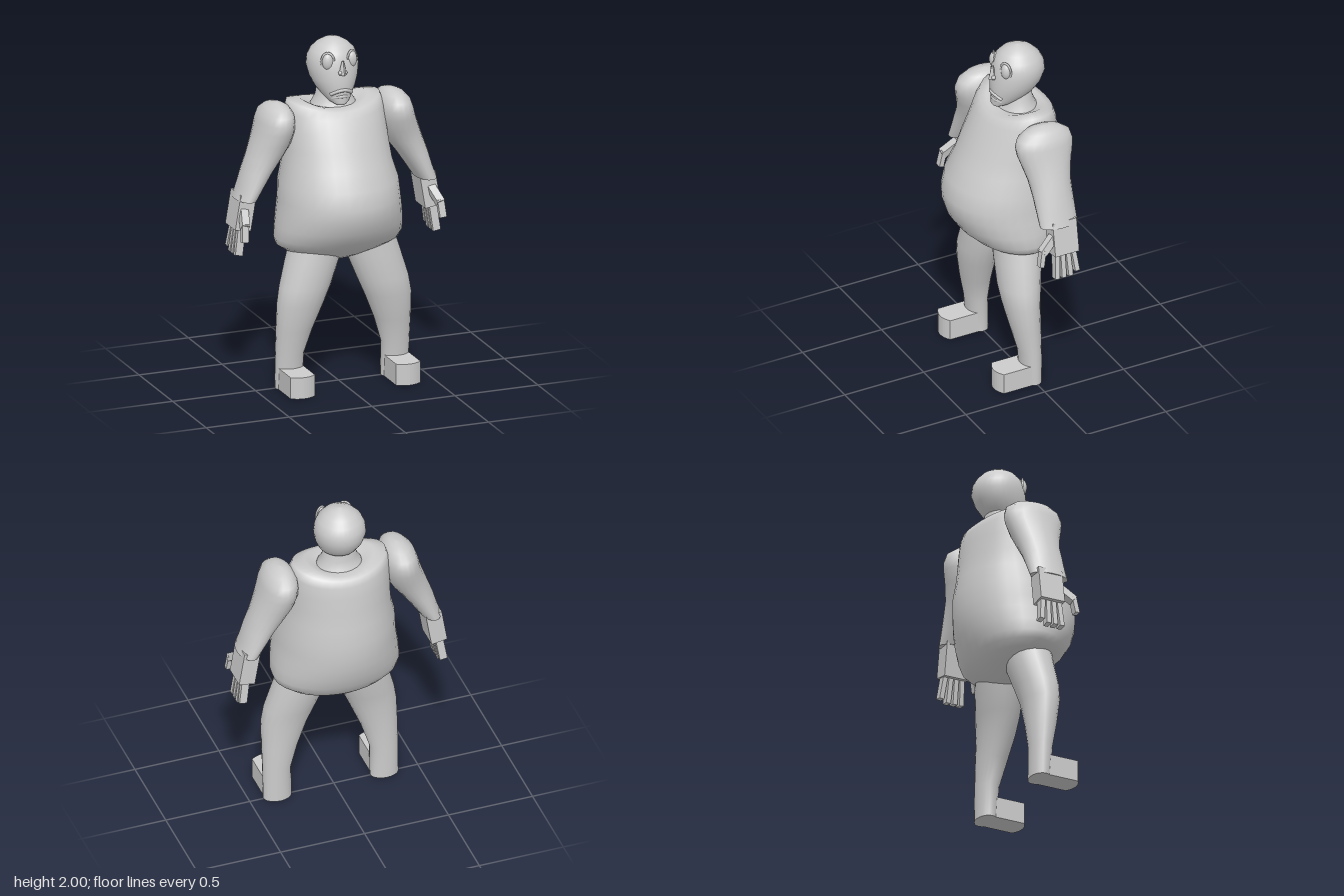
import * as THREE from 'three';

const material = new THREE.MeshStandardMaterial({ color: 0xcccccc, side: THREE.DoubleSide });

function add(group, name, geometry, x = 0, y = 0, z = 0) {
  const mesh = new THREE.Mesh(geometry, material);
  mesh.name = name;
  mesh.position.set(x, y, z);
  group.add(mesh);
  return mesh;
}

// Skin over oval rings listed from bottom to top:
// [y, centre x, half width, back z, front z, lift of the sides]
function loft(rings, segments, side = 1) {
  const pos = [], index = [];
  const addRing = ([y, cx, hx, zb, zf, lift = 0]) => {
    for (let j = 0; j < segments; j++) {
      const a = (j / segments) * Math.PI * 2;
      pos.push(side * cx + hx * Math.cos(a), y + lift * Math.cos(a) ** 2,
        (zb + zf) / 2 + ((zf - zb) / 2) * Math.sin(a));
    }
  };
  rings.forEach(addRing);
  for (let i = 0; i < rings.length - 1; i++) {
    for (let j = 0; j < segments; j++) {
      const a = i * segments + j, b = i * segments + (j + 1) % segments;
      index.push(a, a + segments, b, b, a + segments, b + segments);
    }
  }
  // caps with their own vertices, so the rims stay sharp
  [rings[0], rings[rings.length - 1]].forEach((ring, top) => {
    const start = pos.length / 3;
    addRing(ring);
    pos.push(side * ring[1], ring[0], (ring[3] + ring[4]) / 2);
    for (let j = 0; j < segments; j++) {
      const a = start + j, b = start + (j + 1) % segments, c = start + segments;
      index.push(...(top ? [a, c, b] : [a, b, c]));
    }
  });
  const geometry = new THREE.BufferGeometry();
  geometry.setAttribute('position', new THREE.Float32BufferAttribute(pos, 3));
  geometry.setIndex(index);
  geometry.computeVertexNormals();
  return geometry;
}

// Straight block running from one point to another
function bar(group, name, from, to, width, depth) {
  const p = new THREE.Vector3(...from), q = new THREE.Vector3(...to);
  const dir = q.clone().sub(p);
  const mid = p.clone().add(q).multiplyScalar(0.5);
  const mesh = add(group, name, new THREE.BoxGeometry(width, dir.length(), depth), mid.x, mid.y, mid.z);
  mesh.quaternion.setFromUnitVectors(new THREE.Vector3(0, -1, 0), dir.normalize());
}

function makeHead() {
  const head = new THREE.Group();
  head.name = 'head';
  add(head, 'skull', loft([
    [1.64, 0, 0.03, 0.0, 0.06], [1.655, 0, 0.055, -0.06, 0.07], [1.69, 0, 0.085, -0.14, 0.065],
    [1.73, 0, 0.112, -0.19, 0.068], [1.78, 0, 0.134, -0.228, 0.066], [1.84, 0, 0.147, -0.25, 0.058],
    [1.89, 0, 0.142, -0.243, 0.047], [1.93, 0, 0.124, -0.222, 0.03], [1.965, 0, 0.09, -0.187, 0],
    [1.99, 0, 0.048, -0.143, -0.042], [2.0, 0, 0.004, -0.1, -0.092],
  ], 32));
  for (const s of [1, -1]) {
    add(head, 'eye', new THREE.SphereGeometry(1, 20, 14), s * 0.07, 1.89, 0.015).scale.set(0.033, 0.05, 0.028);
    const lid = add(head, 'eyelid', new THREE.TorusGeometry(0.036, 0.006, 6, 24), s * 0.072, 1.89, 0.018);
    lid.scale.y = 1.4;
    lid.rotation.y = s * 0.45;
    add(head, 'nostril', new THREE.SphereGeometry(0.013, 10, 8), s * 0.014, 1.832, 0.064);
  }
  // wedge nose, wider and deeper at the bottom
  const nose = new THREE.CylinderGeometry(0.006, 0.026, 0.08, 4, 1).toNonIndexed();
  nose.computeVertexNormals();
  add(head, 'nose', nose, 0, 1.86, 0.064);
  // downturned mouth
  const lip = (y, drop, w, z) => new THREE.QuadraticBezierCurve3(
    new THREE.Vector3(-w, y - drop, z - 0.03), new THREE.Vector3(0, y + drop, z + 0.03),
    new THREE.Vector3(w, y - drop, z - 0.03));
  add(head, 'upperLip', new THREE.TubeGeometry(lip(1.728, 0.025, 0.062, 0.066), 16, 0.011, 8));
  add(head, 'lowerLip', new THREE.TubeGeometry(lip(1.69, 0.012, 0.05, 0.06), 16, 0.011, 8));
  add(head, 'neck', loft([
    [1.58, 0, 0.145, -0.22, 0.04], [1.63, 0, 0.125, -0.19, 0.02],
    [1.67, 0, 0.1, -0.175, 0], [1.74, 0, 0.09, -0.17, 0],
  ], 20));
  return head;
}

function makeArm(s) {
  const arm = new THREE.Group();
  arm.name = s > 0 ? 'leftArm' : 'rightArm';
  add(arm, 'sleeve', loft([
    [1.125, 0.542, 0.06, -0.18, 0.05], [1.2, 0.505, 0.072, -0.183, 0.051],
    [1.28, 0.467, 0.088, -0.186, 0.052], [1.36, 0.422, 0.104, -0.195, 0.056],
    [1.44, 0.385, 0.113, -0.217, 0.076], [1.51, 0.364, 0.109, -0.238, 0.098],
    [1.56, 0.357, 0.103, -0.244, 0.104], [1.605, 0.352, 0.092, -0.23, 0.09],
    [1.64, 0.348, 0.065, -0.18, 0.045], [1.656, 0.345, 0.035, -0.125, -0.01], [1.662, 0.345, 0.003, -0.075, -0.065],
  ], 20, s));
  bar(arm, 'palm', [s * 0.54, 1.15, -0.08], [s * 0.573, 0.95, -0.08], 0.095, 0.15);
  for (let i = 0; i < 4; i++) {
    bar(arm, 'finger', [s * 0.573, 0.98, -0.03 - i * 0.033],
      [s * 0.597, i === 3 ? 0.825 : 0.805, -0.02 - i * 0.042], 0.045, 0.028);
  }
  bar(arm, 'thumbBase', [s * 0.565, 1.06, -0.02], [s * 0.59, 0.99, 0.065], 0.045, 0.045);
  bar(arm, 'thumbTip', [s * 0.588, 1.01, 0.06], [s * 0.597, 0.91, 0.078], 0.04, 0.028);
  return arm;
}

function makeLeg(s) {
  const leg = new THREE.Group();
  leg.name = s > 0 ? 'leftLeg' : 'rightLeg';
  add(leg, 'trouser', loft([
    [0, 0.318, 0.083, -0.055, 0.06], [0.2, 0.318, 0.083, -0.055, 0.075],
    [0.35, 0.295, 0.107, -0.06, 0.11], [0.5, 0.263, 0.137, -0.066, 0.14],
    [0.6, 0.233, 0.15, -0.085, 0.15], [0.75, 0.182, 0.158, -0.115, 0.145],
    [0.88, 0.15, 0.15, -0.13, 0.14],
  ], 20, s));
  // shoe with a bowed toe
  const sole = new THREE.Shape();
  sole.moveTo(-0.073, 0);
  sole.lineTo(0.073, 0);
  sole.lineTo(0.073, -0.21);
  sole.quadraticCurveTo(0, -0.262, -0.073, -0.21);
  const shoe = new THREE.ExtrudeGeometry(sole, { depth: 0.125, bevelEnabled: false, curveSegments: 10 });
  shoe.rotateX(-Math.PI / 2);
  add(leg, 'shoe', shoe, s * 0.318, 0, 0);
  return leg;
}

export function createModel() {
  const model = new THREE.Group();
  model.name = 'figure';
  // pot-bellied torso with raised shoulders
  add(model, 'torso', loft([
    [0.718, 0, 0.03, -0.08, -0.02], [0.735, 0, 0.1, -0.14, 0.05], [0.765, 0, 0.2, -0.195, 0.11],
    [0.8, 0, 0.31, -0.235, 0.165], [0.835, 0, 0.36, -0.262, 0.215], [0.88, 0, 0.374, -0.287, 0.262],
    [0.95, 0, 0.368, -0.315, 0.31], [1.03, 0, 0.357, -0.334, 0.338], [1.1, 0, 0.347, -0.34, 0.345],
    [1.2, 0, 0.34, -0.343, 0.323], [1.3, 0, 0.314, -0.325, 0.265], [1.4, 0, 0.304, -0.312, 0.222],
    [1.5, 0, 0.298, -0.3, 0.17], [1.57, 0, 0.29, -0.287, 0.132, 0.03], [1.61, 0, 0.272, -0.27, 0.1, 0.05],
    [1.618, 0, 0.2, -0.235, 0.07, 0.045], [1.618, 0, 0.13, -0.19, 0.02],
  ], 32));
  model.add(makeHead());
  // the stance is set slightly to one side
  const legs = new THREE.Group();
  legs.name = 'legs';
  legs.position.x = 0.018;
  for (const s of [1, -1]) {
    model.add(makeArm(s));
    legs.add(makeLeg(s));
  }
  model.add(legs);
  return model;
}
